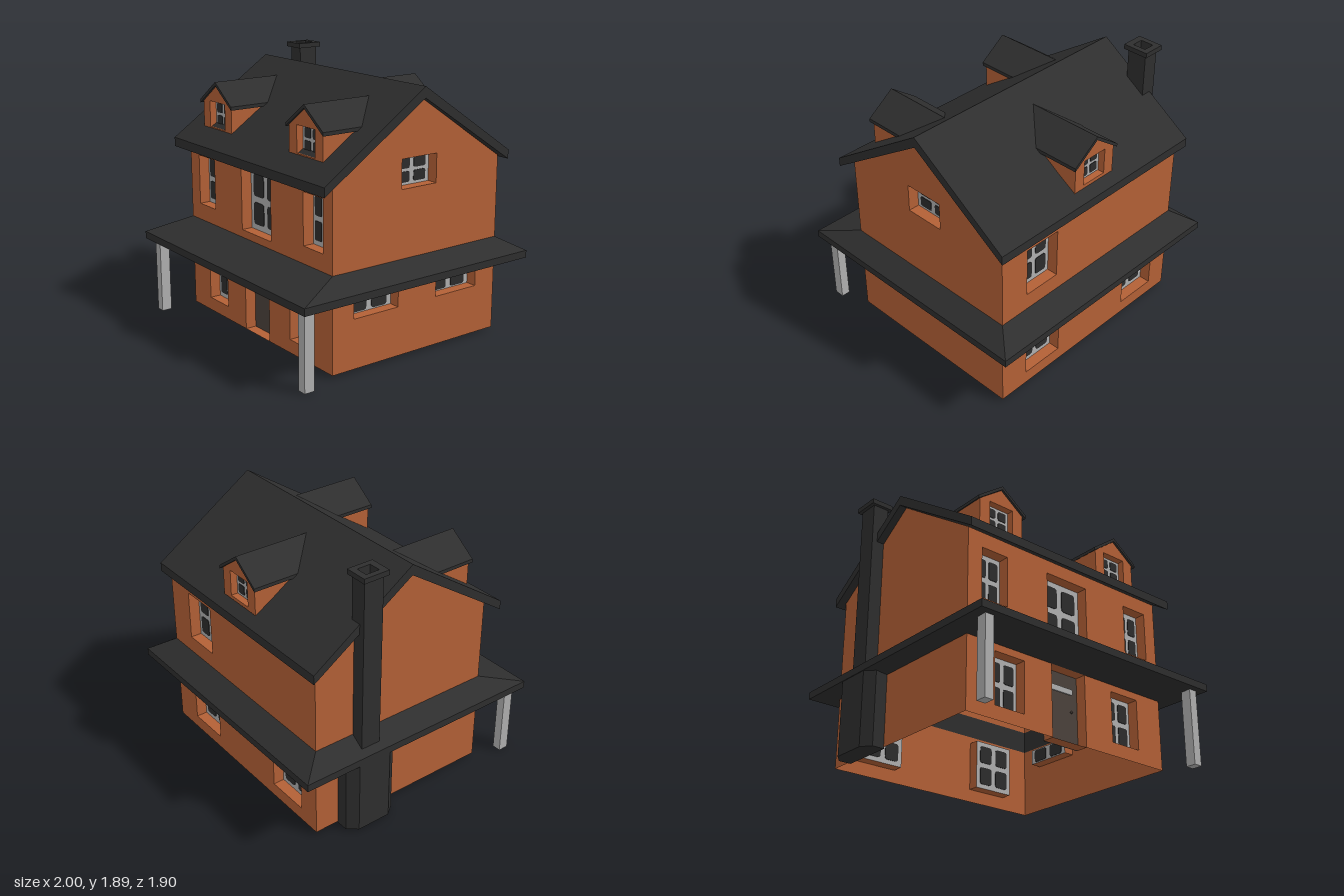
import * as THREE from 'three';

const material = (name, color, side = THREE.FrontSide) => {
  const m = new THREE.MeshStandardMaterial({ color, side });
  m.name = name;
  return m;
};

export function createModel() {
  const brick = material('brick', 0xb36036, THREE.DoubleSide);
  const slate = material('slate', 0x2e2e2e, THREE.DoubleSide);
  const glass = material('darkGlass', 0x2c2c2c);
  const trim = material('paleTrim', 0xb0b0b0, THREE.DoubleSide);
  const doorPaint = material('doorPaint', 0x4b423c);

  const house = new THREE.Group();
  house.name = 'house';

  const add = (parent, name, geometry, mat, x = 0, y = 0, z = 0) => {
    const mesh = new THREE.Mesh(geometry, mat);
    mesh.name = name;
    mesh.position.set(x, y, z);
    parent.add(mesh);
    return mesh;
  };
  const outline = pts => new THREE.Shape(pts.map(p => new THREE.Vector2(...p)));
  const rect = (x0, x1, y0, y1) => [[x0, y0], [x1, y0], [x1, y1], [x0, y1]];
  const extrude = (shape, depth) => new THREE.ExtrudeGeometry(shape, { depth, bevelEnabled: false, curveSegments: 4 });
  const box = (parent, name, mat, [x0, x1], [y0, y1], [z0, z1]) =>
    add(parent, name, new THREE.BoxGeometry(x1 - x0, y1 - y0, z1 - z0), mat,
      (x0 + x1) / 2, (y0 + y1) / 2, (z0 + z1) / 2);

  // Open square tube lining a wall opening
  const reveal = (parent, name, [x0, x1, y0, y1], depth) => {
    let g = new THREE.CylinderGeometry(Math.SQRT1_2, Math.SQRT1_2, 1, 4, 1, true);
    g.rotateY(Math.PI / 4).rotateX(Math.PI / 2).scale(x1 - x0, y1 - y0, depth);
    g = g.toNonIndexed();
    g.computeVertexNormals();
    add(parent, name, g, brick, (x0 + x1) / 2, (y0 + y1) / 2, -depth / 2);
  };

  const roundedRect = (w, h, r) => {
    const s = new THREE.Shape();
    const a = w / 2, b = h / 2;
    s.moveTo(-a + r, -b);
    s.lineTo(a - r, -b).quadraticCurveTo(a, -b, a, -b + r);
    s.lineTo(a, b - r).quadraticCurveTo(a, b, a - r, b);
    s.lineTo(-a + r, b).quadraticCurveTo(-a, b, -a, b - r);
    s.lineTo(-a, -b + r).quadraticCurveTo(-a, -b, -a + r, -b);
    return s;
  };

  // Recessed window: lining, pale frame and a grid of rounded panes
  const addWindow = (parent, { r, rows = 2, depth = 0.08 }) => {
    const [x0, x1, y0, y1] = r;
    const w = x1 - x0, h = y1 - y0;
    reveal(parent, 'windowReveal', r, depth);
    add(parent, 'windowFrame', new THREE.PlaneGeometry(w, h), trim, (x0 + x1) / 2, (y0 + y1) / 2, -depth);
    const pw = w * 0.34, ph = rows === 1 ? h * 0.84 : h * 0.36;
    const pane = extrude(roundedRect(pw, ph, Math.min(pw, ph) * 0.2), 0.008);
    for (let i = 0; i < 2; i++)
      for (let j = 0; j < rows; j++)
        add(parent, 'windowPane', pane, glass, x0 + w * (0.27 + 0.46 * i),
          y0 + h * (rows === 1 ? 0.5 : 0.27 + 0.46 * j), -depth - 0.004);
  };

  // Wall made of flat pieces, each an outline with its windows; local +z faces outward
  const addWall = (parent, name, pieces, x, z, angle) => {
    const wall = new THREE.Group();
    wall.name = name;
    wall.position.set(x, 0, z);
    wall.rotation.y = angle;
    for (const [pts, windows = []] of pieces) {
      const shape = outline(pts);
      for (const win of windows) {
        shape.holes.push(new THREE.Path(rect(...win.r).map(p => new THREE.Vector2(...p))));
        addWindow(wall, win);
      }
      add(wall, name + 'Panel', new THREE.ShapeGeometry(shape), brick);
    }
    parent.add(wall);
    return wall;
  };

  // Main walls
  const W = 0.855, F = 0.63, B = -0.78, low = [0.02, 0.525], high = [0.69, 1.277];
  const front = addWall(house, 'frontWall', [
    [rect(-W, -0.155, ...low), [{ r: [-0.63, -0.39, 0.115, 0.475] }]],
    [rect(0.14, W, ...low), [{ r: [0.385, 0.63, 0.115, 0.475] }]],
    [rect(-W, W, ...high), [
      { r: [-0.74, -0.53, 0.81, 1.17] },
      { r: [-0.18, 0.175, 0.745, 1.18] },
      { r: [0.545, 0.755, 0.81, 1.17] }]],
  ], 0, F, 0);
  addWall(house, 'backWall', [
    [rect(-W, W, ...low), [{ r: [-0.63, -0.31, 0.115, 0.475] }, { r: [0.37, 0.69, 0.115, 0.475] }]],
    [rect(-W, W, ...high), [{ r: [-0.63, -0.35, 0.81, 1.17] }]],
  ], 0, B, Math.PI);
  const gable = s => [[-F * s, 0.69], [-B * s, 0.69], [-B * s, 1.27], [0.07 * s, 1.745], [-F * s, 1.277]];
  addWall(house, 'rightWall', [
    [rect(-F, -B, ...low), [
      { r: [-0.46, -0.09, 0.365, 0.475], rows: 1 },
      { r: [0.24, 0.605, 0.365, 0.475], rows: 1 }]],
    [gable(1), [{ r: [-0.075, 0.22, 1.16, 1.36] }]],
  ], W, 0, Math.PI / 2);
  addWall(house, 'leftWall', [[rect(B, F, ...low)], [gable(-1)]], -W, 0, -Math.PI / 2);

  // Front door
  reveal(front, 'doorReveal', [-0.155, 0.14, ...low], 0.08);
  box(front, 'door', doorPaint, [-0.155, 0.14], low, [-0.09, -0.08]);
  add(front, 'doorPlate', extrude(roundedRect(0.21, 0.04, 0.012), 0.008), trim, -0.01, 0.41, -0.08);
  add(front, 'doorKnob', new THREE.SphereGeometry(0.009, 10, 8), doorPaint, 0.085, 0.27, -0.075);

  // Porch roof: rectangular loops joined into a ring around the house
  const loops = [[W, F, B, 0.525], [1, 0.95, -0.95, 0.54], [1, 0.95, -0.95, 0.592], [W, F, B, 0.69], [W, F, B, 0.525]]
    .map(([w, f, b, y]) => [[-w, y, f], [w, y, f], [w, y, b], [-w, y, b]]);
  const ring = [];
  for (let i = 0; i < 4; i++)
    for (let j = 0; j < 4; j++) {
      const k = (j + 1) % 4;
      const a = loops[i][j], b = loops[i][k], c = loops[i + 1][k], d = loops[i + 1][j];
      ring.push(...a, ...b, ...c, ...a, ...c, ...d);
    }
  const porch = new THREE.BufferGeometry();
  porch.setAttribute('position', new THREE.Float32BufferAttribute(ring, 3));
  porch.computeVertexNormals();
  add(house, 'porchRoof', porch, slate);
  for (const s of [-1, 1])
    add(house, 'porchPost', new THREE.BoxGeometry(0.065, 0.545, 0.075), trim, s * 0.9025, 0.2725, 0.8675);

  // Main roof
  const roof = extrude(outline([[-0.73, 1.22], [0.07, 1.745], [0.83, 1.245], [0.83, 1.31], [0.07, 1.82], [-0.73, 1.285]]), 1.815);
  add(house, 'mainRoof', roof.rotateY(Math.PI / 2), slate, -0.91);

  // Dormers: windowed face, two cheeks and a small gabled roof
  const addDormer = (x, z, angle) => {
    const dormer = new THREE.Group();
    dormer.name = 'dormer';
    dormer.position.set(x, 0, z);
    dormer.rotation.y = angle;
    addWall(dormer, 'dormerFace', [[
      [[-0.183, 1.365], [0.183, 1.365], [0.183, 1.565], [0, 1.697], [-0.183, 1.565]],
      [{ r: [-0.098, 0.098, 1.39, 1.575], depth: 0.05 }]]], 0, 0, 0);
    for (const s of [-1, 1]) {
      const cheek = outline([[0, 1.365], [0, 1.568], [0.33, 1.568]]);
      add(dormer, 'dormerCheek', new THREE.ShapeGeometry(cheek).rotateY(Math.PI / 2), brick, s * 0.183);
    }
    const cap = outline([[-0.203, 1.55], [0, 1.697], [0.203, 1.55], [0.203, 1.575], [0, 1.722], [-0.203, 1.575]]);
    add(dormer, 'dormerRoof', extrude(cap, 0.56), slate, 0, 0, -0.545);
    house.add(dormer);
  };
  addDormer(-0.545, 0.585, 0);
  addDormer(0.515, 0.585, 0);
  addDormer(-0.007, -0.76, Math.PI);

  // Chimney: chamfered hearth, hollow shaft and cap
  const upright = (name, pts, y0, y1, hole) => {
    const shape = outline(pts.map(([x, z]) => [x, -z]));
    if (hole) shape.holes.push(new THREE.Path(hole.map(([x, z]) => new THREE.Vector2(x, -z))));
    add(house, name, extrude(shape, y1 - y0).rotateX(-Math.PI / 2), slate, 0, y0);
  };
  const flue = rect(-0.935, -0.85, -0.46, -0.36);
  upright('chimneyBase', [[-0.85, -0.6], [-0.94, -0.6], [-0.995, -0.53], [-0.995, -0.28], [-0.94, -0.21], [-0.85, -0.21]], 0.01, 0.54);
  upright('chimneyShaft', rect(-0.95, -0.832, -0.482, -0.335), 0.54, 1.855, flue);
  upright('chimneyCap', rect(-0.975, -0.81, -0.505, -0.312), 1.855, 1.89, flue);

  return house;
}
